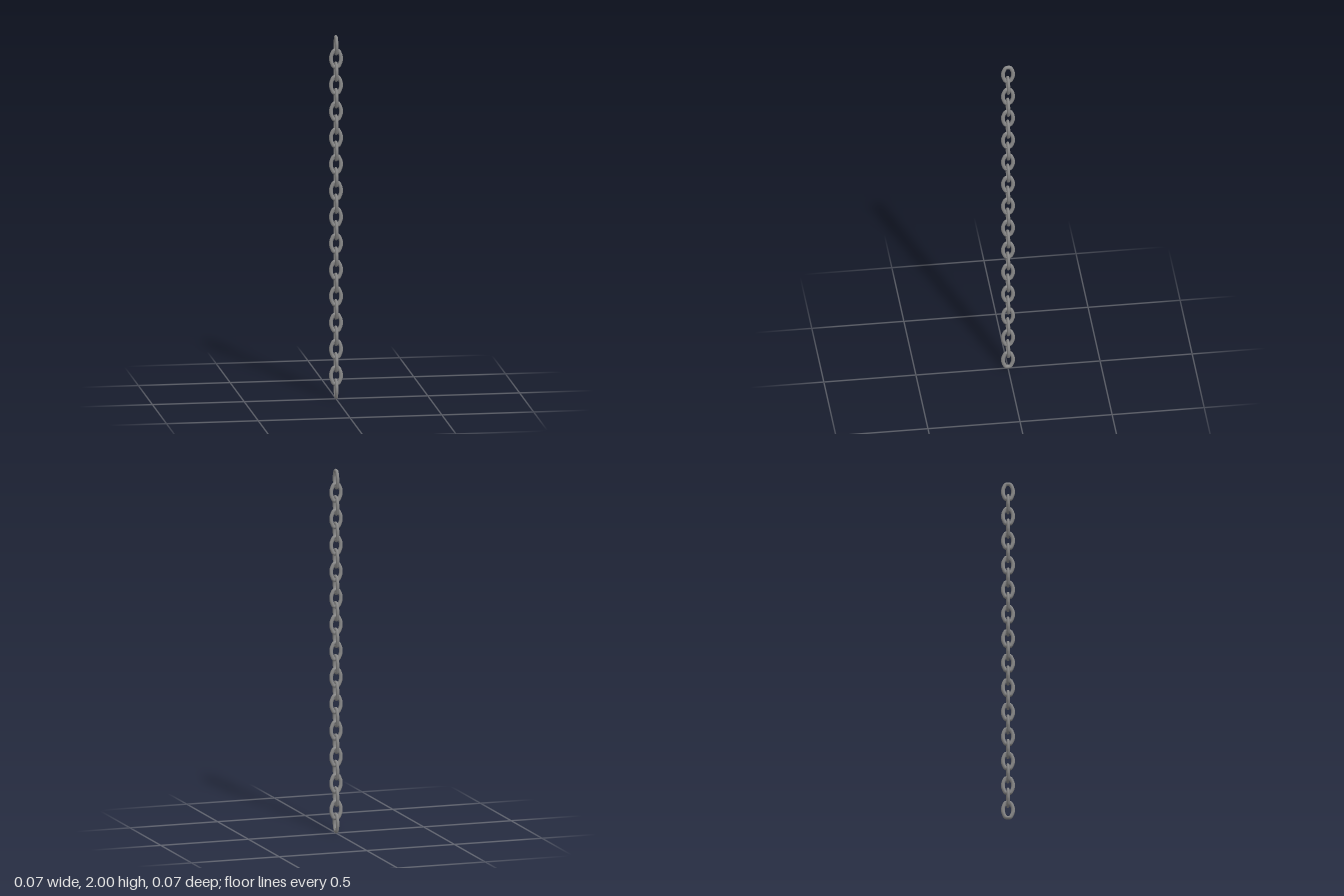
import * as THREE from 'three';

const LINKS = 27, HEIGHT = 0.11, WIDTH = 0.074, WIRE = 0.0105;
const PITCH = (2 - HEIGHT) / (LINKS - 1);

// One closed link in the XY plane: a softened octagon, tapering to its ends
function linkGeometry() {
  const a = WIDTH / 2 - WIRE, b = HEIGHT / 2 - WIRE;
  const corners = [
    [1, -0.3], [1, 0.3], [0.5, 0.97], [-0.5, 0.97],
    [-1, 0.3], [-1, -0.3], [-0.5, -0.97], [0.5, -0.97],
  ];
  const points = corners.map(([x, y]) => new THREE.Vector3(x * a, y * b, 0));
  const path = new THREE.CatmullRomCurve3(points, true, 'catmullrom', 0.3);
  // Wire is slightly flattened across the link
  return new THREE.TubeGeometry(path, 40, WIRE, 10, true).scale(1, 1, 0.85);
}

export function createModel() {
  const chain = new THREE.Group();
  chain.name = 'chain';
  const geometry = linkGeometry();
  const material = new THREE.MeshStandardMaterial({ color: 0x8a8a8a });

  // Links alternate by a quarter turn, the end links facing sideways
  for (let i = 0; i < LINKS; i++) {
    const link = new THREE.Mesh(geometry, material);
    link.name = `link${i + 1}`;
    link.position.y = HEIGHT / 2 + i * PITCH;
    if (i % 2 === 0) link.rotation.y = Math.PI / 2;
    chain.add(link);
  }
  return chain;
}
